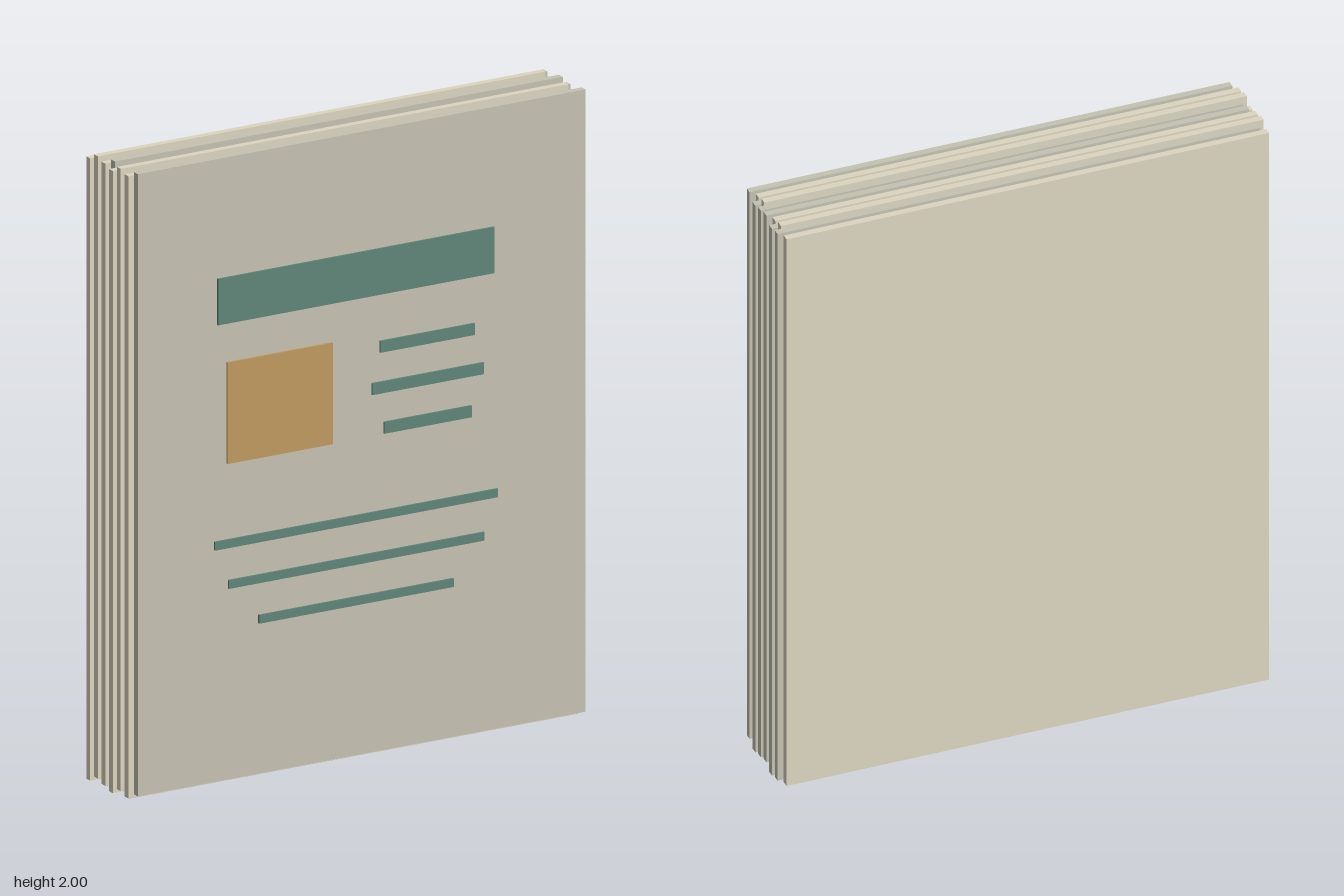
import * as THREE from 'three';

export function createModel() {
  const model = new THREE.Group();
  const material = (color) => new THREE.MeshStandardMaterial({ color });
  const cream = material(0xdcd5c0);
  const greyPaper = material(0xc5c2b2);
  const green = material(0x5f8578);
  const ochre = material(0xbf9a5f);

  // Box given by its extents on each axis
  function addBox(parent, name, mat, x0, x1, y0, y1, z0, z1) {
    const mesh = new THREE.Mesh(new THREE.BoxGeometry(x1 - x0, y1 - y0, z1 - z0), mat);
    mesh.position.set((x0 + x1) / 2, (y0 + y1) / 2, (z0 + z1) / 2);
    mesh.name = name;
    parent.add(mesh);
  }

  // Stack of sheets, nudged sideways alternately and upwards in threes
  const sheets = new THREE.Group();
  sheets.name = 'sheets';
  const count = 12, back = -0.14, front = 0.133;
  const thickness = (front - back) / count;
  for (let i = 0; i < count; i++) {
    const shift = i % 2 ? 0.01 : -0.01;
    const lift = (i % 3) * 0.01;
    const z = back + i * thickness;
    addBox(sheets, 'sheet', i % 2 ? greyPaper : cream,
      shift - 0.782, shift + 0.782, lift, lift + 1.98, z, z + thickness);
  }
  model.add(sheets);

  // Raised print on the front sheet: x from, x to, y from, y to
  const print = new THREE.Group();
  print.name = 'print';
  const blocks = [
    ['headline', green, -0.495, 0.47, 1.473, 1.62],
    ['picturePanel', ochre, -0.463, -0.095, 1.026, 1.349],
    ['shortTextLine', green, 0.072, 0.402, 1.288, 1.325],
    ['shortTextLine', green, 0.043, 0.432, 1.158, 1.195],
    ['shortTextLine', green, 0.085, 0.39, 1.028, 1.065],
    ['longTextLine', green, -0.506, 0.482, 0.758, 0.785],
    ['longTextLine', green, -0.458, 0.435, 0.628, 0.655],
    ['longTextLine', green, -0.352, 0.328, 0.499, 0.526],
  ];
  for (const [name, mat, x0, x1, y0, y1] of blocks) {
    addBox(print, name, mat, x0, x1, y0, y1, front, 0.14);
  }
  model.add(print);

  return model;
}
